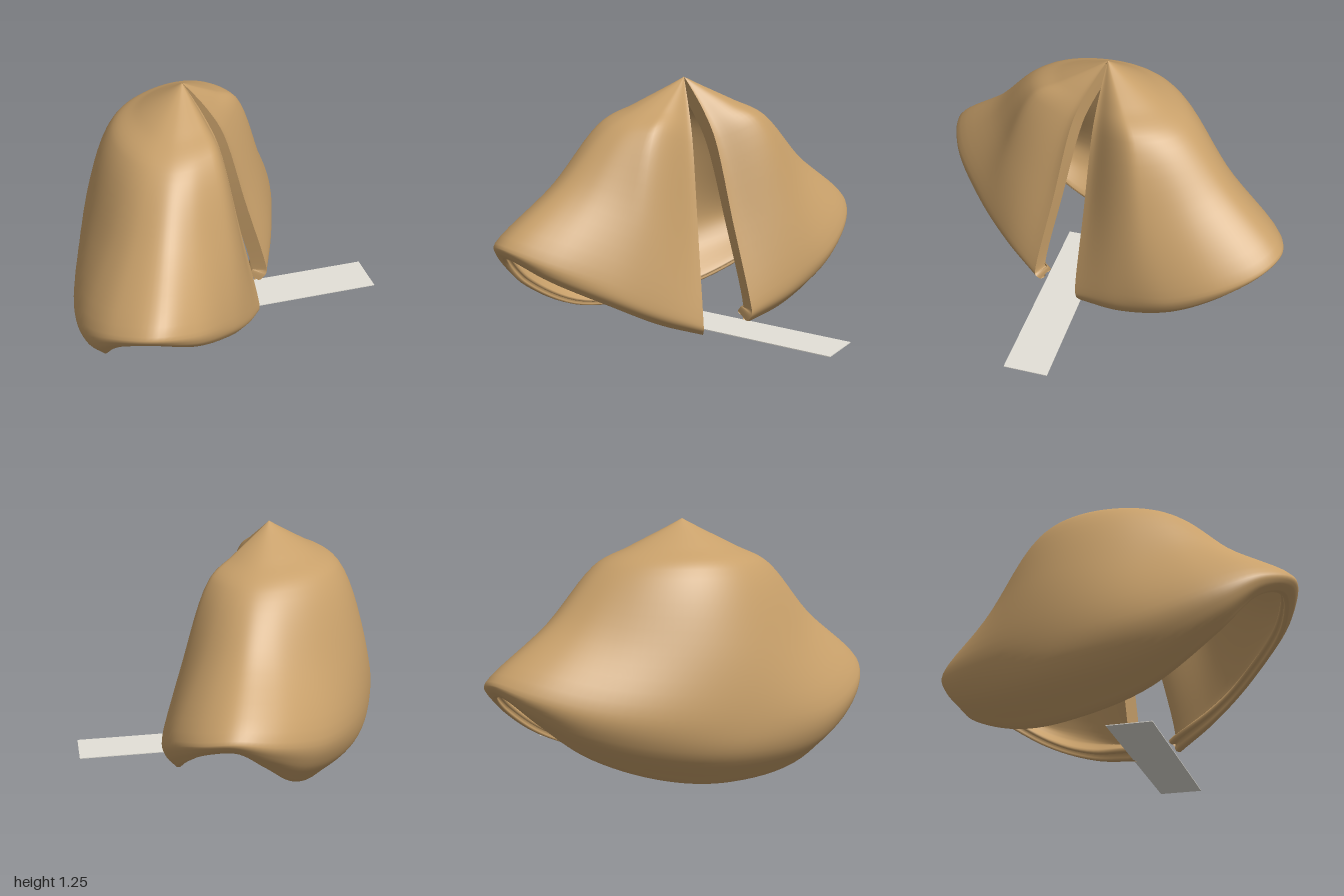
import * as THREE from 'three';

const V = (x, y, z) => new THREE.Vector3(x, y, z);
const curve = (a) => {
  const pts = [];
  for (let i = 0; i < a.length; i += 3) pts.push(V(a[i], a[i + 1], a[i + 2]));
  return new THREE.CatmullRomCurve3(pts);
};

// Widest line of the folded shell, from one side of the slit around to the other
const widest = curve([
  .23, .14, 0, .31, .24, -.25, .35, .33, -.52, .30, .44, -.77, .18, .51, -.94, .04, .54, -1,
  -.15, .50, -.95, -.38, .42, -.75, -.6, .36, -.4, -.73, .33, -.03, -.8, .33, .4, -.76, .42, .72,
  -.65, .5, .9, -.47, .54, 1, -.27, .48, .92, -.08, .36, .7, .05, .22, .48, .14, .1, .27]);
// Lower rim of the shell
const rim = curve([
  .2, .04, -.01, .25, .09, -.25, .28, .21, -.54, .24, .36, -.78, .15, .45, -.91, .03, .47, -.95,
  -.10, .36, -.87, -.24, .2, -.7, -.4, .06, -.38, -.54, .01, -.05, -.65, .06, .37, -.68, .25, .7,
  -.62, .42, .87, -.48, .47, .95, -.29, .39, .89, -.1, .25, .68, .02, .12, .46, .12, .03, .25]);

const APEX = V(-0.2, 1.26, 0);
const NU = 120, NV = 44;

// How close u is to the slit: 1 at the slit, 0 away from it
const nearSlit = (u) => 1 - THREE.MathUtils.smoothstep(Math.min(u, 1 - u), 0, 0.1);

// Outer profile at u, running from the apex over the shoulder to the rim
function profile(u) {
  const W = widest.getPoint(u), R = rim.getPoint(u);
  const dir = V(W.x - APEX.x, 0, W.z - APEX.z);
  const len = dir.length();
  dir.normalize();
  const s = nearSlit(u);
  const r = (0.235 + 0.22 * len) * (1 - 0.4 * s);
  const at = (d, y) => V(APEX.x + dir.x * d, y, APEX.z + dir.z * d);
  const shoulder = at(r, 1.04 - 0.07 * s);
  const mid = shoulder.clone().lerp(W, 0.5).addScaledVector(dir, (0.12 - 0.145 * len) * (1 - s));
  const under = W.clone().lerp(R, 0.5).addScaledVector(dir, 0.18 * (W.y - R.y));
  return new THREE.CatmullRomCurve3(
    [APEX.clone(), at(0.2 * r, 1.215), at(0.62 * r, 1.125 - 0.02 * s), shoulder, mid, W, under, R]);
}

// Indexed surface from a grid of points
function gridGeometry(rows) {
  const n = rows[0].length, pos = [], idx = [];
  rows.forEach((row) => row.forEach((p) => pos.push(p.x, p.y, p.z)));
  for (let i = 0; i < rows.length - 1; i++) {
    for (let j = 0; j < n - 1; j++) {
      const a = i * n + j, b = a + 1, c = a + n, d = c + 1;
      idx.push(a, b, c, b, d, c);
    }
  }
  const g = new THREE.BufferGeometry();
  g.setAttribute('position', new THREE.Float32BufferAttribute(pos, 3));
  g.setIndex(idx);
  g.computeVertexNormals();
  return g;
}

export function createModel() {
  const group = new THREE.Group();
  const cookieMat = new THREE.MeshStandardMaterial({ color: 0xc8a06a, side: THREE.DoubleSide });
  cookieMat.name = 'baked dough';
  const paperMat = new THREE.MeshStandardMaterial({ color: 0xe4e1d8 });
  paperMat.name = 'paper';
  const add = (geo, mat, name) => {
    const m = new THREE.Mesh(geo, mat);
    m.name = name;
    group.add(m);
    return m;
  };

  // Outer skin and inner skin, offset along the surface normal
  const outer = [], inner = [];
  for (let i = 0; i <= NU; i++) outer.push(profile(i / NU).getPoints(NV));
  for (let i = 0; i <= NU; i++) {
    const th = 0.05 + 0.03 * nearSlit(i / NU);
    inner.push(outer[i].map((p, j) => {
      if (j === 0) return p.clone().add(V(0, -0.06, 0));
      const du = outer[Math.min(i + 1, NU)][j].clone().sub(outer[Math.max(i - 1, 0)][j]);
      const dt = outer[i][Math.min(j + 1, NV)].clone().sub(outer[i][j - 1]);
      return p.clone().addScaledVector(dt.cross(du).normalize(), -th * Math.min(1, 0.3 + j / 12));
    }));
  }

  // Shell: outside, grooved lip, then back up the inside
  const loops = outer.map((o, i) => {
    const a = o[NV], b = inner[i][NV];
    const down = a.clone().sub(o[NV - 3]).normalize();
    const lip = (t, d) => a.clone().lerp(b, t).addScaledVector(down, d);
    return [...o, lip(0.2, 0.012), lip(0.4, 0.008), lip(0.55, -0.015), lip(0.7, 0.004),
      lip(0.85, 0.006), ...inner[i].slice().reverse()];
  });
  add(gridGeometry(loops), cookieMat, 'foldedShell');

  // Cut faces on both sides of the slit
  add(gridGeometry([inner[0], outer[0]]), cookieMat, 'backSlitEdge');
  add(gridGeometry([outer[NU], inner[NU]]), cookieMat, 'frontSlitEdge');

  // Paper slip sticking out of the slit
  const slip = add(new THREE.BoxGeometry(1.09, 0.004, 0.222), paperMat, 'paperSlip');
  slip.position.set(0.238, 0.045, 0.088);
  slip.rotation.y = 0.108;

  return group;
}
